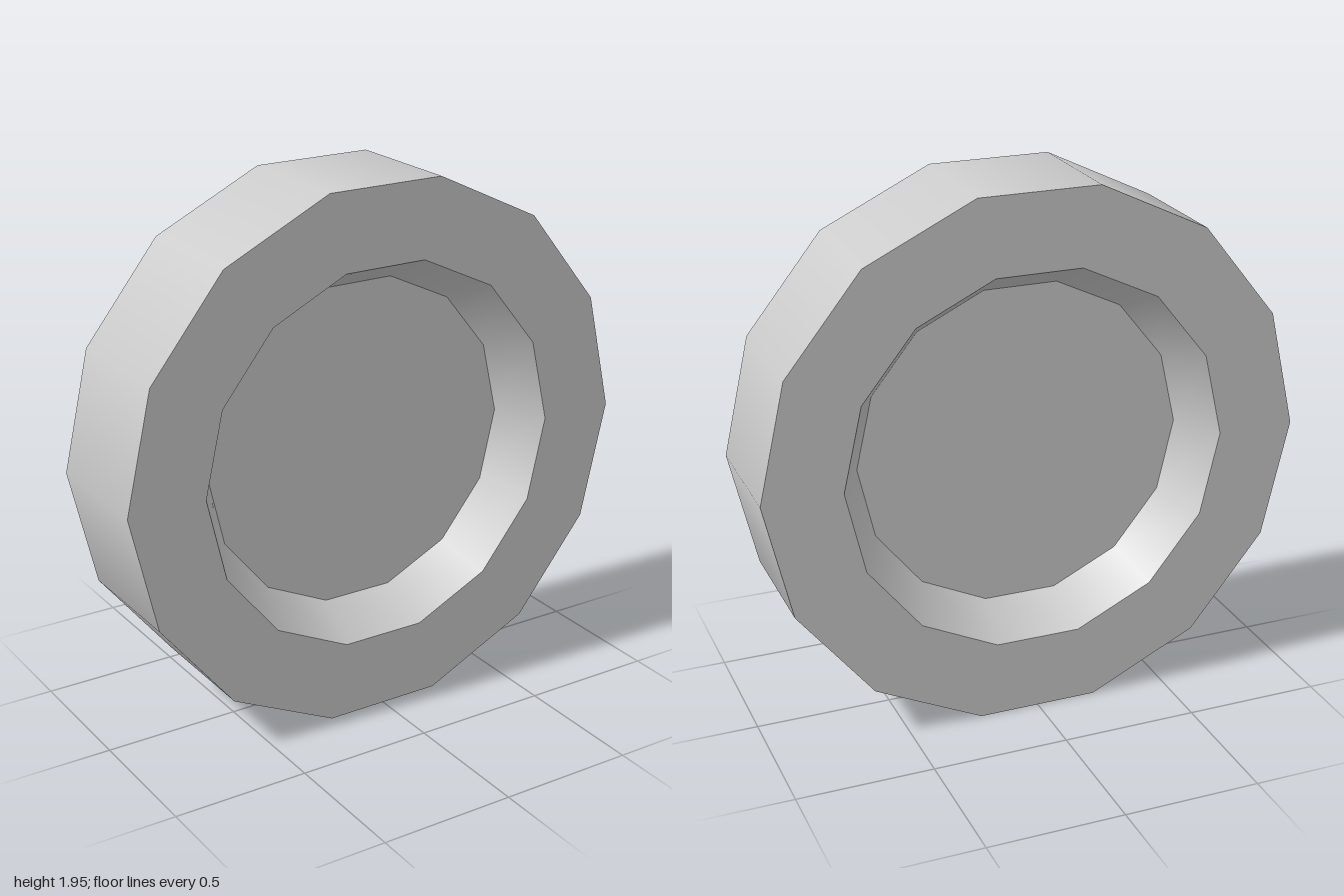
import * as THREE from 'three';

const SIDES = 14;
const HALF = 0.235;   // half thickness of the wheel
const FLOOR = 0.058;  // half thickness of the central web
const RIM = 0.71;     // recess radius at the face
const HUB = 0.61;     // recess radius at the web

export function createModel() {
  const group = new THREE.Group();
  group.name = 'wheel';
  const material = new THREE.MeshStandardMaterial({ color: 0xcccccc });

  // Each profile segment is its own lathe, so edges between segments stay sharp
  // while each band is smooth around the axle.
  const band = (name, from, to) => {
    const points = [new THREE.Vector2(...from), new THREE.Vector2(...to)];
    const geometry = new THREE.LatheGeometry(points, SIDES, Math.PI / 2);
    geometry.rotateX(Math.PI / 2); // axle along z
    const mesh = new THREE.Mesh(geometry, material);
    mesh.name = name;
    group.add(mesh);
  };

  // Back side, from the centre outwards
  band('backWeb', [0, -FLOOR], [HUB, -FLOOR]);
  band('backRecessWall', [HUB, -FLOOR], [RIM, -HALF]);
  band('backSidewall', [RIM, -HALF], [1, -HALF]);

  // Tread
  band('tread', [1, -HALF], [1, HALF]);

  // Front side, from the rim inwards
  band('frontSidewall', [1, HALF], [RIM, HALF]);
  band('frontRecessWall', [RIM, HALF], [HUB, FLOOR]);
  band('frontWeb', [HUB, FLOOR], [0, FLOOR]);

  // Rest the bottom flat on the ground
  group.position.y = Math.cos(Math.PI / SIDES);
  return group;
}
